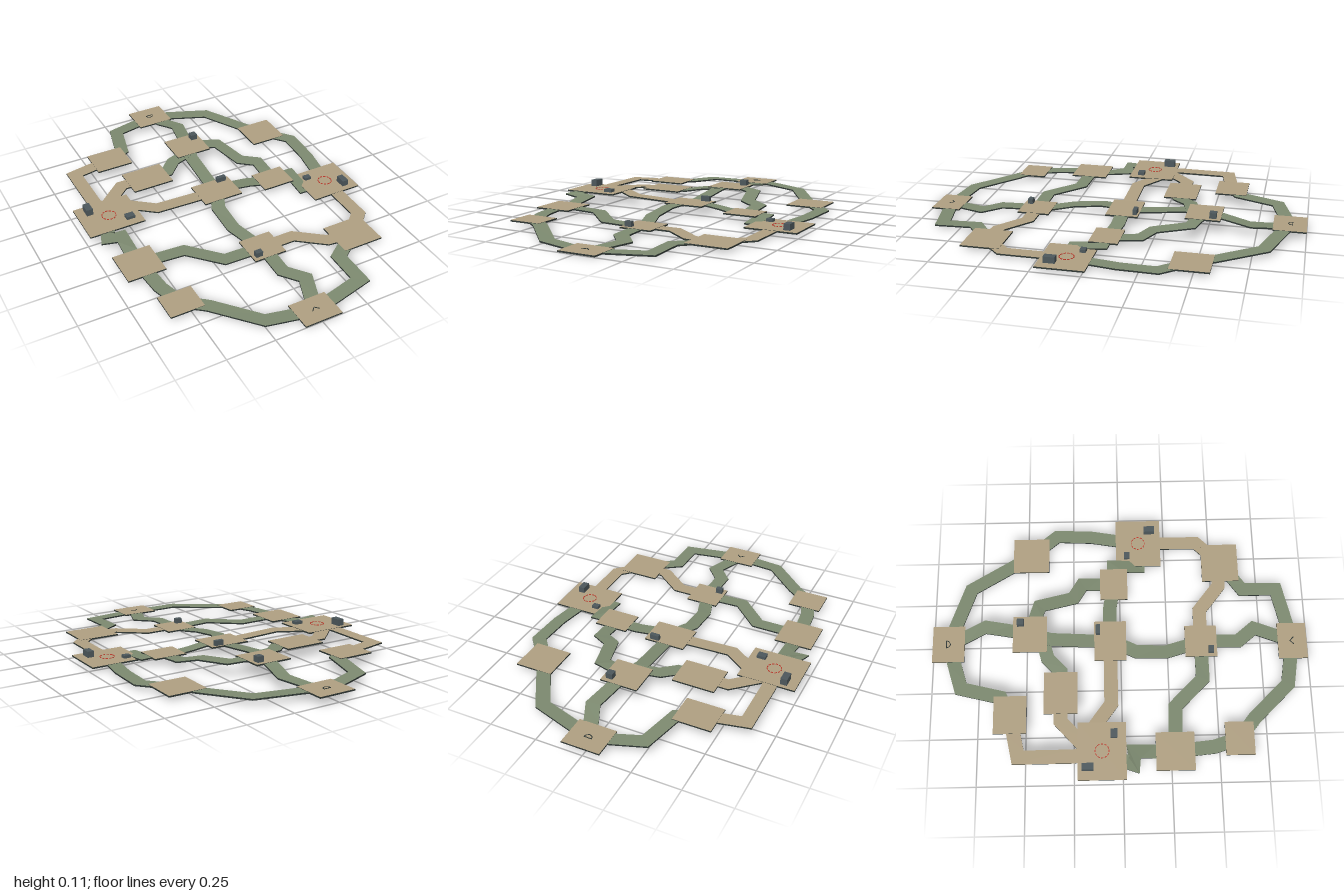
import * as THREE from 'three';

const mat = (name, color) => {
  const m = new THREE.MeshStandardMaterial({ color });
  m.name = name;
  return m;
};

export function createModel() {
  const tan = mat('sand floor', 0xb0a082);
  const green = mat('moss path', 0x7d8a70);
  const dark = mat('dark edge', 0x303835);
  const slate = mat('slate crate', 0x4d585c);
  const red = mat('red marker', 0xc0392b);
  const group = new THREE.Group();
  const T = 0.008; // slab thickness
  const HALF = 0.036; // half path width

  const add = (geo, material, name, x = 0, y = 0, z = 0) => {
    const mesh = new THREE.Mesh(geo, material);
    mesh.name = name;
    mesh.position.set(x, y, z);
    group.add(mesh);
    return mesh;
  };

  // Platforms: x0, x1, z0, z1, top height
  const P = {
    north: [-0.09, 0.11, -1.0, -0.83, 0.044],
    northWest: [-0.49, -0.29, -0.665, -0.495, 0.064],
    upperMid: [-0.055, 0.145, -0.57, -0.39, 0.082],
    northEast: [0.43, 0.63, -0.58, -0.385, 0.024],
    innerWest: [-0.39, -0.165, -0.405, -0.23, 0.068],
    westSite: [-0.74, -0.44, -0.23, 0.018, 0.068],
    middle: [-0.10, 0.12, -0.14, 0.03, 0.055],
    innerEast: [0.255, 0.435, -0.105, 0.043, 0.037],
    eastSite: [0.458, 0.735, -0.015, 0.23, 0.021],
    west: [-0.69, -0.49, 0.17, 0.37, 0.034],
    lowerMid: [-0.075, 0.10, 0.345, 0.515, 0.021],
    southEast: [0.36, 0.58, 0.455, 0.655, 0.021],
    southWest: [-0.615, -0.44, 0.53, 0.68, 0.03],
    south: [-0.09, 0.11, 0.845, 1.0, T],
  };
  for (const [name, [x0, x1, z0, z1, y]] of Object.entries(P)) {
    add(new THREE.BoxGeometry(x1 - x0, T, z1 - z0), [dark, dark, tan, tan, dark, dark],
      name + 'Platform', (x0 + x1) / 2, y - T / 2, (z0 + z1) / 2);
  }

  const centre = ([x0, x1, z0, z1]) => [(x0 + x1) / 2, (z0 + z1) / 2];
  // Point where the line from a platform's centre toward q leaves the platform
  const exit = (p, q) => {
    const [cx, cz] = centre(p);
    const dx = q[0] - cx, dz = q[1] - cz;
    const t = Math.min((p[1] - p[0]) / 2 / (Math.abs(dx) + 1e-6),
      (p[3] - p[2]) / 2 / (Math.abs(dz) + 1e-6), 0.98);
    return [cx + dx * t, cz + dz * t];
  };

  // Mitred ribbon slab through points [x, y, z]
  const ribbon = (pts) => {
    const dir = (a, b) => new THREE.Vector2(b[0] - a[0], b[2] - a[2]).normalize();
    const sections = pts.map((p, i) => {
      const d0 = dir(pts[Math.max(i - 1, 0)], pts[Math.max(i, 1)]);
      const d1 = i < pts.length - 1 ? dir(p, pts[i + 1]) : d0;
      const d = d0.clone().add(d1).normalize();
      const w = HALF * Math.min(1 / Math.max(d.dot(d0), 0.1), 1.42);
      const nx = d.y * w, nz = -d.x * w;
      return {
        L: [p[0] + nx, p[1], p[2] + nz], R: [p[0] - nx, p[1], p[2] - nz],
        l: [p[0] + nx, p[1] - T, p[2] + nz], r: [p[0] - nx, p[1] - T, p[2] - nz],
      };
    });
    const faces = [], sides = [];
    const quad = (out, a, b, c, d) => out.push(...a, ...b, ...c, ...a, ...c, ...d);
    for (let i = 0; i < sections.length - 1; i++) {
      const a = sections[i], b = sections[i + 1];
      quad(faces, a.R, b.R, b.L, a.L);
      quad(faces, a.l, b.l, b.r, a.r);
      quad(sides, a.r, b.r, b.R, a.R);
      quad(sides, b.l, a.l, a.L, b.L);
    }
    const geo = new THREE.BufferGeometry();
    geo.setAttribute('position', new THREE.Float32BufferAttribute([...faces, ...sides], 3));
    geo.addGroup(0, faces.length / 3, 0);
    geo.addGroup(faces.length / 3, sides.length / 3, 1);
    geo.computeVertexNormals();
    return geo;
  };

  // Paths between platforms, with their bends [x, z]
  const paths = [
    ['north', 'northWest', green, [[-0.24, -0.84], [-0.295, -0.63]]],
    ['north', 'northEast', green, [[0.33, -0.805]]],
    ['north', 'upperMid', green, [[0.1, -0.72]]],
    ['northWest', 'westSite', tan, [[-0.615, -0.535], [-0.615, -0.25]]],
    ['westSite', 'innerWest', tan, [[-0.56, -0.2], [-0.43, -0.318]]],
    ['innerWest', 'upperMid', green, [[-0.16, -0.318], [-0.09, -0.385], [0.0, -0.41]]],
    ['westSite', 'middle', tan, [[-0.45, -0.135], [-0.34, -0.055]]],
    ['upperMid', 'middle', green, [[0.015, -0.37]]],
    ['upperMid', 'innerEast', green, [[0.21, -0.43], [0.26, -0.25], [0.345, -0.2]]],
    ['middle', 'innerEast', green, [[0.2, -0.055]]],
    ['innerEast', 'eastSite', green, [[0.455, -0.03], [0.455, 0.105]]],
    ['northEast', 'eastSite', green, [[0.648, -0.34], [0.64, -0.15]]],
    ['eastSite', 'southEast', tan, [[0.595, 0.43]]],
    ['lowerMid', 'southEast', tan, [[0.19, 0.43], [0.33, 0.54]]],
    ['southEast', 'south', green, [[0.31, 0.67], [0.31, 0.855]]],
    ['south', 'southWest', green, [[-0.235, 0.88], [-0.42, 0.69]]],
    ['southWest', 'west', green, [[-0.57, 0.47]]],
    ['west', 'lowerMid', green, [[-0.35, 0.28], [-0.2, 0.43]]],
    ['middle', 'lowerMid', green, [[-0.05, 0.08], [-0.05, 0.24]]],
    ['lowerMid', 'south', green, [[0.01, 0.63], [0.085, 0.72]]],
    ['westSite', 'west', green, [[-0.665, 0.055], [-0.59, 0.055]]],
  ];
  for (const [from, to, material, bends] of paths) {
    const a = P[from], b = P[to];
    // Level under each platform, even slope in between
    const run = [exit(a, bends[0]), ...bends, exit(b, bends[bends.length - 1])];
    const dist = [0];
    for (let i = 1; i < run.length; i++) {
      dist.push(dist[i - 1] + Math.hypot(run[i][0] - run[i - 1][0], run[i][1] - run[i - 1][1]));
    }
    const total = dist[dist.length - 1];
    const ya = a[4] - 0.0015, yb = b[4] - 0.0015;
    const pts = run.map(([x, z], i) => [x, ya + (yb - ya) * dist[i] / total, z]);
    const ca = centre(a), cb = centre(b);
    add(ribbon([[ca[0], ya, ca[1]], ...pts, [cb[0], yb, cb[1]]]), [material, dark], `${from}To${to[0].toUpperCase()}${to.slice(1)}Path`);
  }

  // Cover crates: x, z, width, depth, bottom, top
  const crates = [
    [-0.675, -0.18, 0.035, 0.06, 0.059, 0.104],
    [-0.5, -0.043, 0.046, 0.036, 0.059, 0.084],
    [0.107, -0.53, 0.036, 0.036, 0.078, 0.112],
    [0.07, -0.12, 0.05, 0.022, 0.05, 0.082],
    [0.52, 0.045, 0.037, 0.03, 0.012, 0.036],
    [0.67, 0.17, 0.034, 0.058, 0.012, 0.053],
    [-0.04, 0.482, 0.037, 0.027, 0.016, 0.048],
  ];
  for (const [x, z, w, d, y0, y1] of crates) {
    add(new THREE.BoxGeometry(w, y1 - y0, d), slate, 'crate', x, (y0 + y1) / 2, z);
  }

  // Dashed rings on the two sites, on both faces of the floor
  for (const p of [P.westSite, P.eastSite]) {
    const [x, z] = centre(p);
    for (let i = 0; i < 12; i++) {
      const a = (i / 12) * Math.PI * 2;
      const dash = add(new THREE.BoxGeometry(0.004, T + 0.006, 0.012), red, 'siteRingDash',
        x + Math.cos(a) * 0.036, p[4] - T / 2, z + Math.sin(a) * 0.036);
      dash.rotation.y = -a;
    }
  }

  // Thin line marks on the two end platforms
  const line = (p, points, name) => {
    for (let i = 1; i < points.length; i++) {
      const [x0, z0] = points[i - 1], [x1, z1] = points[i];
      const bar = add(new THREE.BoxGeometry(Math.hypot(x1 - x0, z1 - z0), 0.002, 0.004), dark, name,
        (x0 + x1) / 2, p[4] + 0.001, (z0 + z1) / 2);
      bar.rotation.y = -Math.atan2(z1 - z0, x1 - x0);
    }
  };
  line(P.south, [[-0.01, 0.93], [0.01, 0.91], [0.03, 0.93]], 'southArrowMark');
  line(P.north, [[-0.01, -0.927], [0.03, -0.927], [0.025, -0.913], [0.01, -0.905], [-0.005, -0.913], [-0.01, -0.927]], 'northShieldMark');

  return group;
}
